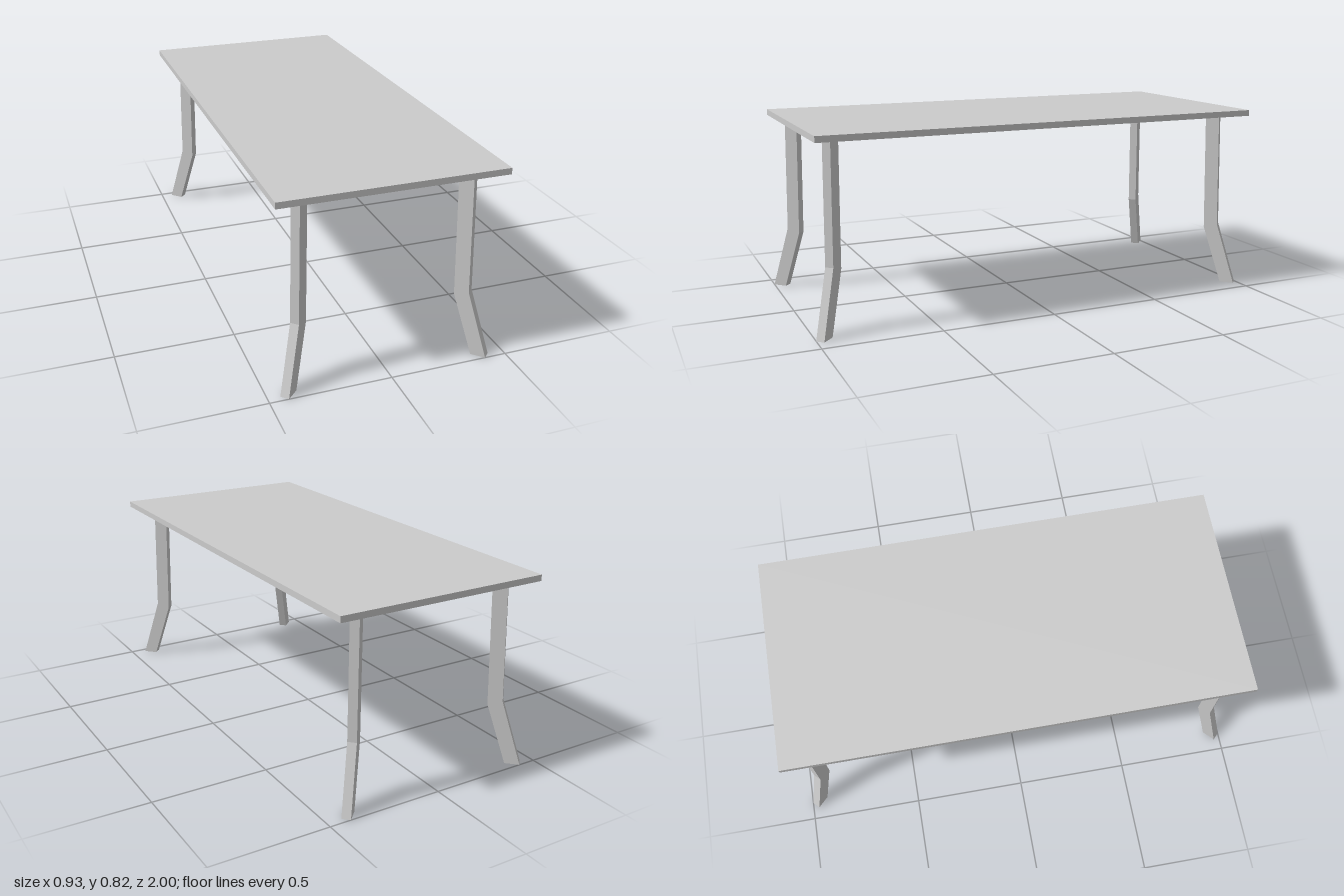
import * as THREE from 'three';

const TOP_Y = 0.792, LEG_WIDTH = 0.037;

// Bent leg profile: x runs outward along the table's diagonal, y is up
function legGeometry() {
  const profile = new THREE.Shape([
    [-0.03, TOP_Y], [-0.018, 0.26], [0.067, 0], [0.129, 0], [0.042, 0.278], [0.03, TOP_Y],
  ].map(([x, y]) => new THREE.Vector2(x, y)));
  const geometry = new THREE.ExtrudeGeometry(profile, { depth: LEG_WIDTH, bevelEnabled: false });
  geometry.translate(0, 0, -LEG_WIDTH / 2);
  return geometry;
}

export function createModel() {
  const model = new THREE.Group();
  model.name = 'table';
  const material = new THREE.MeshStandardMaterial({ color: 0xcccccc, flatShading: true });

  // Thin rectangular slab
  const top = new THREE.Mesh(new THREE.BoxGeometry(0.926, 0.026, 1.982), material);
  top.name = 'tableTop';
  top.position.set(0, TOP_Y + 0.013, -0.004);
  model.add(top);

  // Four legs, each turned to splay toward its own corner
  const geometry = legGeometry();
  for (const sx of [-1, 1]) {
    for (const sz of [-1, 1]) {
      const leg = new THREE.Mesh(geometry, material);
      leg.name = (sz > 0 ? 'front' : 'back') + (sx > 0 ? 'Left' : 'Right') + 'Leg';
      leg.position.set(sx * 0.338 - 0.007, 0, sz * 0.896);
      leg.rotation.y = Math.atan2(-sz, sx);
      model.add(leg);
    }
  }
  return model;
}
